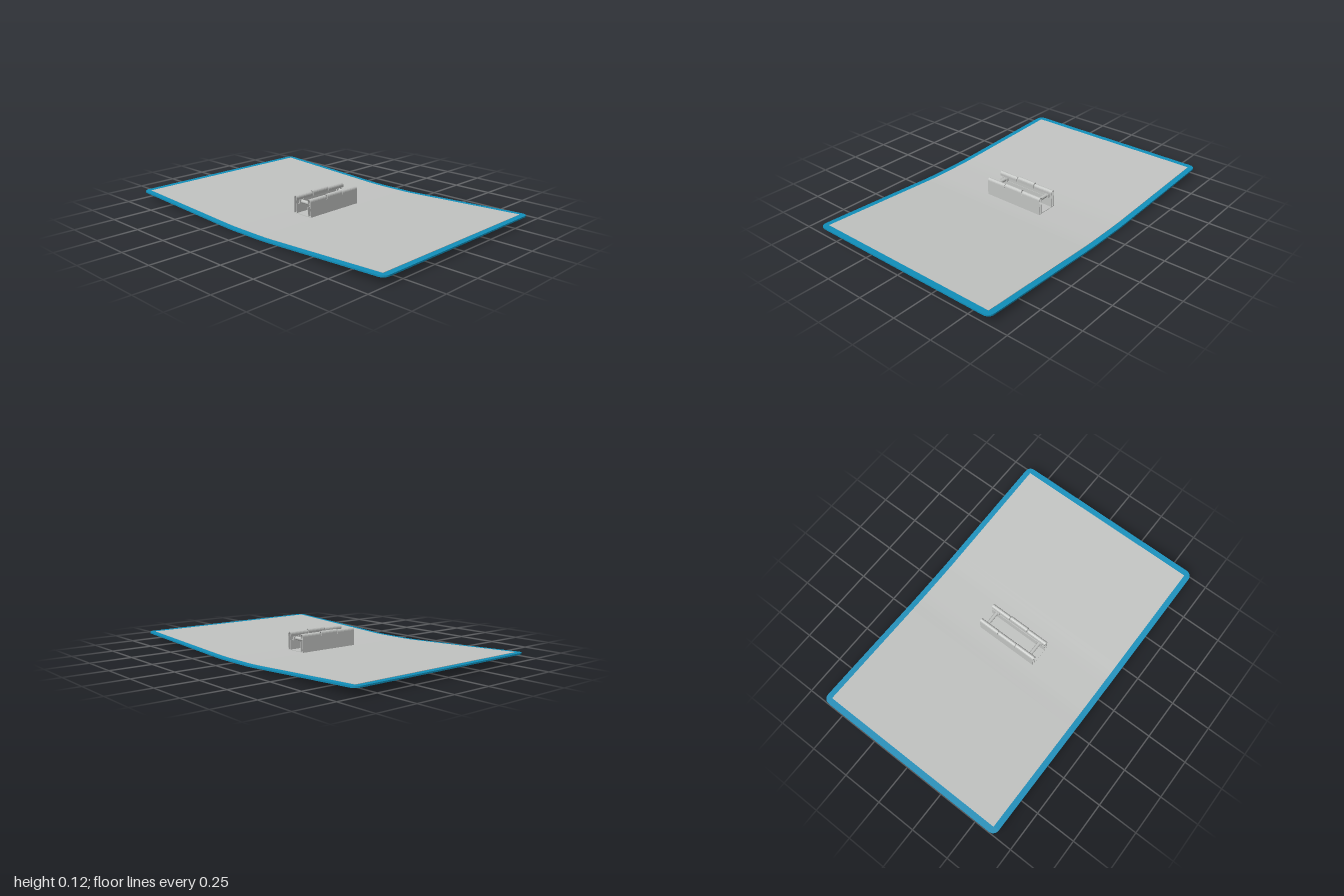
import * as THREE from 'three';

// Height of the bent cover: flat spine, soft fold, then rising wings
function bend(x) {
  const d = Math.max(0, Math.abs(x) - 0.08), w = 0.12;
  return 0.0468 * (d < w ? d * d / (2 * w) : d - w / 2);
}

// Thin sheet following the bend, with optional rounded corners
function sheet(halfX, halfZ, radius, y0, thickness) {
  const xs = [];
  for (let i = 0; i <= 6; i++) xs.push(halfX - radius + radius * Math.sin(i / 6 * Math.PI / 2));
  for (let i = 0; i <= 8; i++) xs.push(Math.min(0.03 * i, halfX));
  const stations = [...new Set([...xs, ...xs.map((x) => -x)].map((x) => +x.toFixed(5) + 0))].sort((a, b) => a - b);
  const ring = stations.map((x) => {
    const c = Math.max(0, Math.abs(x) - (halfX - radius));
    const z = halfZ - radius + Math.sqrt(Math.max(0, radius * radius - c * c));
    const b = y0 + bend(x), t = b + thickness;
    return [[x, t, z], [x, t, -z], [x, b, -z], [x, b, z]];
  });
  const pos = [];
  const quad = (a, b, c, d) => pos.push(...a, ...b, ...c, ...a, ...c, ...d);
  for (let i = 0; i < ring.length - 1; i++) {
    const p = ring[i], q = ring[i + 1];
    for (let k = 0; k < 4; k++) quad(p[k], q[k], q[(k + 1) % 4], p[(k + 1) % 4]);
  }
  const last = ring[ring.length - 1];
  quad(ring[0][0], ring[0][1], ring[0][2], ring[0][3]);
  quad(last[3], last[2], last[1], last[0]);
  const g = new THREE.BufferGeometry();
  g.setAttribute('position', new THREE.Float32BufferAttribute(pos, 3));
  g.computeVertexNormals();
  return g;
}

// Folded metal strip: a path in x,y given thickness and run along z
function strip(path, thickness, z0, z1) {
  const pts = path.map(([x, y]) => new THREE.Vector2(x, y));
  const inner = pts.map((p, i) => {
    const dir = pts[Math.min(i + 1, pts.length - 1)].clone().sub(pts[Math.max(i - 1, 0)]).normalize();
    return new THREE.Vector2(p.x - dir.y * thickness, p.y + dir.x * thickness);
  });
  const g = new THREE.ExtrudeGeometry(new THREE.Shape([...pts, ...inner.reverse()]),
    { depth: z1 - z0, bevelEnabled: false });
  return g.translate(0, 0, z0);
}

export function createModel() {
  const blue = new THREE.MeshStandardMaterial({ color: 0x1191bd });
  blue.name = 'cover blue';
  const grey = new THREE.MeshStandardMaterial({ color: 0xc3c5c3 });
  grey.name = 'metal grey';
  const model = new THREE.Group();
  const add = (parent, name, geometry, material) => {
    const mesh = new THREE.Mesh(geometry, material);
    mesh.name = name;
    parent.add(mesh);
    return mesh;
  };

  // Cover, inner lining and spine strip underneath
  add(model, 'cover', sheet(1, 0.638, 0.04, 0.001, 0.009), blue);
  add(model, 'lining', sheet(0.963, 0.603, 0, 0.008, 0.004), grey);
  add(model, 'spineStrip', sheet(0.115, 0.605, 0, 0, 0.004), grey);

  // Clip mechanism in the middle of the spine
  const clip = new THREE.Group();
  clip.name = 'clip';
  model.add(clip);
  const floor = add(clip, 'clipFloor', new THREE.BoxGeometry(0.14, 0.004, 0.4), grey);
  floor.position.y = 0.013;

  // Rolled upper lip, continuing the outer wall
  const lip = (top, outer) => {
    const path = [[outer, 0.093]];
    for (let i = 0; i <= 8; i++) {
      const a = i / 8 * Math.PI;
      path.push([outer - 0.013 + 0.013 * Math.cos(a), top - 0.015 + 0.015 * Math.sin(a)]);
    }
    path.push([outer - 0.025, 0.092]);
    return path;
  };
  const side = new THREE.Group();
  side.name = 'clipSide';
  add(side, 'outerWall', strip([[0.071, 0.012], [0.071, 0.096]], 0.004, -0.2, 0.2), grey);
  add(side, 'innerWall', strip([[0.05, 0.012], [0.05, 0.072]], 0.004, -0.2, 0.2), grey);
  for (const [z0, z1] of [[-0.2, -0.069], [0.069, 0.2]]) {
    add(side, 'lip', strip(lip(0.121, 0.071), 0.004, z0, z1), grey);
  }
  add(side, 'centreTab', strip(lip(0.125, 0.073), 0.004, -0.062, 0.062), grey);
  clip.add(side);
  const other = side.clone();
  other.rotation.y = Math.PI;
  clip.add(other);

  // Cross rods with end collars
  for (const z of [-0.16, 0.16]) {
    const rod = add(clip, 'crossRod', new THREE.CylinderGeometry(0.011, 0.011, 0.09, 20), grey);
    rod.rotation.z = Math.PI / 2;
    rod.position.set(0, 0.08, z);
    for (const x of [-0.046, 0.046]) {
      const collar = add(clip, 'rodCollar', new THREE.BoxGeometry(0.008, 0.024, 0.04), grey);
      collar.position.set(x, 0.08, z);
    }
  }
  return model;
}
